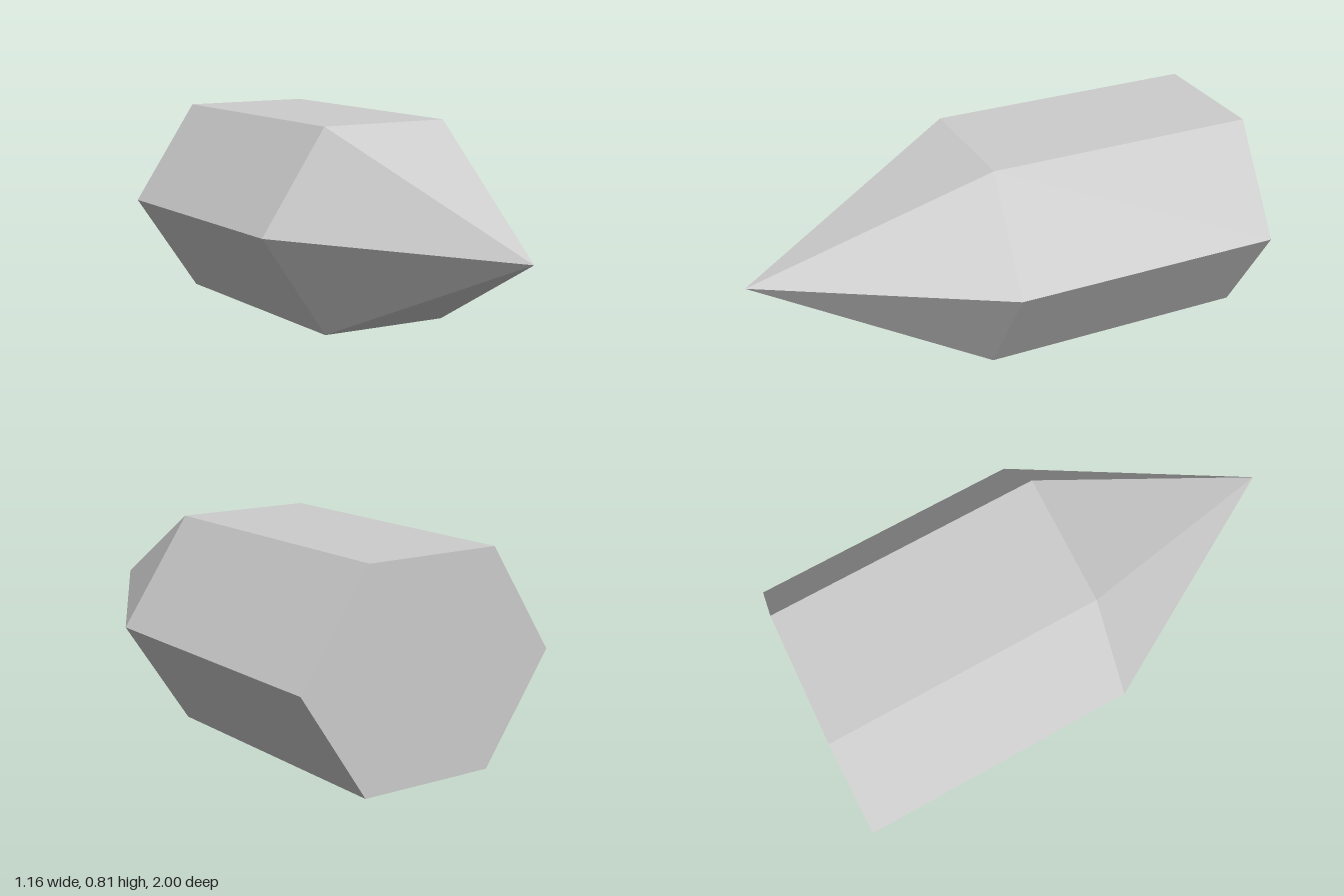
import * as THREE from 'three';

// Skewed hexagonal crystal: prism shaft, pointed tip and flat base.
const right = new THREE.Vector3(0.535, 0, -0.015);
const up = new THREE.Vector3(0, 0.405 / Math.sin(Math.PI / 3), 0);
const backCentre = new THREE.Vector3(-0.048, 0.405, -0.985);
const frontCentre = new THREE.Vector3(0.045, 0.405, 0.105);
const apex = new THREE.Vector3(0.118, 0.405, 1);

export function createModel() {
  const group = new THREE.Group();
  group.name = 'crystal';
  const grey = new THREE.MeshStandardMaterial({ color: 0xcccccc });
  grey.name = 'light grey';

  // Maps a unit geometry onto the skewed axes and gives it flat facets
  const addPart = (name, geometry, x, y, z, centre) => {
    const matrix = new THREE.Matrix4().makeBasis(x, y, z).setPosition(centre);
    const facets = geometry.toNonIndexed().applyMatrix4(matrix);
    facets.computeVertexNormals();
    const mesh = new THREE.Mesh(facets, grey);
    mesh.name = name;
    group.add(mesh);
  };

  // Stretches an open six-sided cylinder or cone between two centres
  const addSpan = (name, topRadius, from, to) => addPart(
    name,
    new THREE.CylinderGeometry(topRadius, 1, 1, 6, 1, true),
    up,
    to.clone().sub(from),
    right,
    from.clone().lerp(to, 0.5)
  );

  addSpan('shaft', 1, backCentre, frontCentre);
  addSpan('tip', 0, frontCentre, apex);

  // Flat back face
  addPart('base', new THREE.CircleGeometry(1, 6), right.clone().negate(), up,
    new THREE.Vector3(0, 0, -1), backCentre);

  return group;
}
